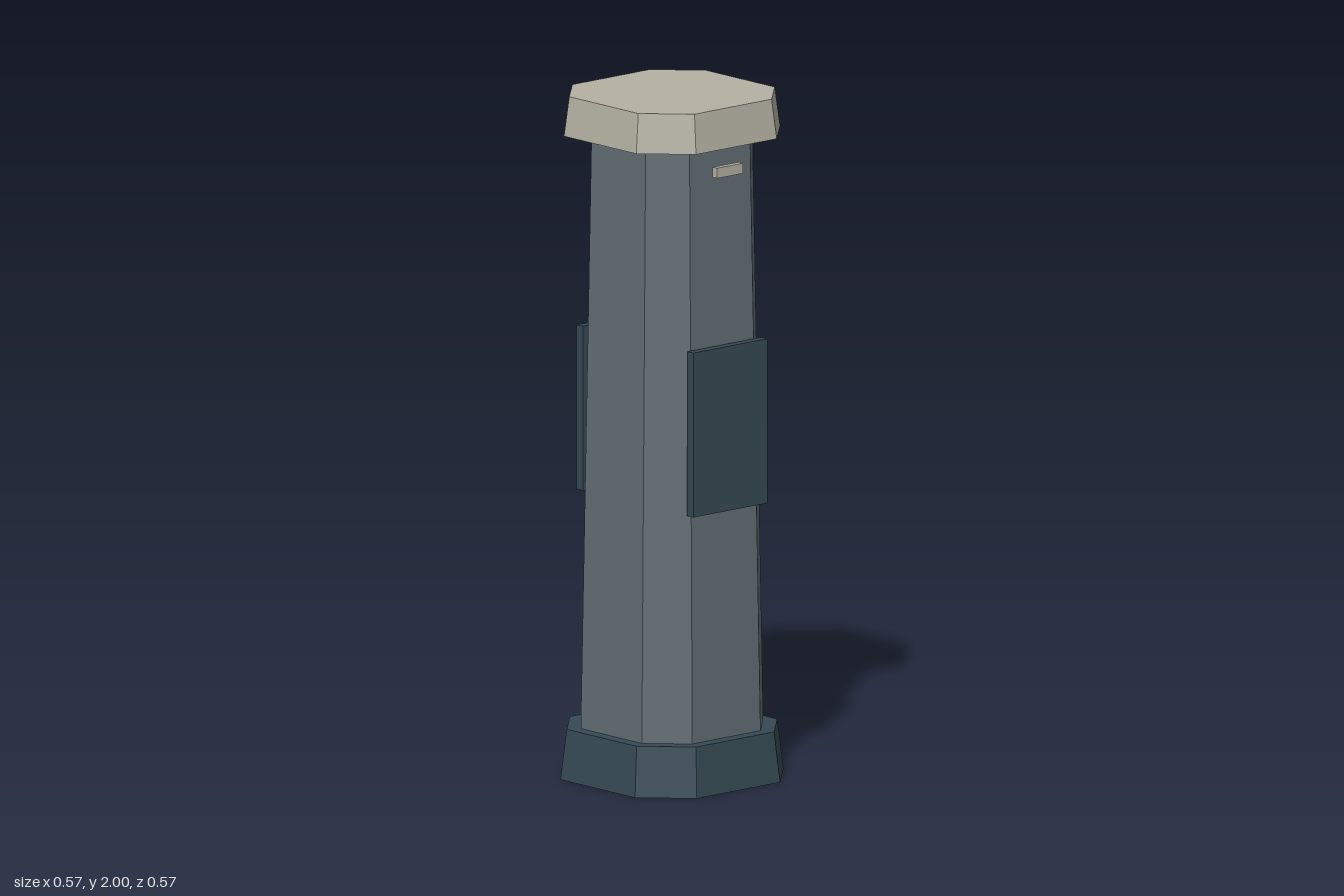
import * as THREE from 'three';
import { ConvexGeometry } from 'three/addons/geometries/ConvexGeometry.js';

// Corners of a square with cut corners: half = half width, flat = half length of each main side
function ring(y, half, flat) {
  const points = [];
  for (const sx of [-1, 1]) {
    for (const sz of [-1, 1]) {
      points.push(new THREE.Vector3(sx * half, y, sz * flat));
      points.push(new THREE.Vector3(sx * flat, y, sz * half));
    }
  }
  return points;
}

export function createModel() {
  const model = new THREE.Group();
  const make = (name, color) => {
    const material = new THREE.MeshStandardMaterial({ color });
    material.name = name;
    return material;
  };
  const stone = make('paleStone', 0xb5b2a4);
  const slate = make('slateGrey', 0x626e75);
  const dark = make('darkBlueGrey', 0x364a54);

  const add = (name, geometry, material) => {
    const mesh = new THREE.Mesh(geometry, material);
    mesh.name = name;
    model.add(mesh);
    return mesh;
  };
  const taper = (name, material, bottom, top) =>
    add(name, new ConvexGeometry([...ring(...bottom), ...ring(...top)]), material);

  // Tapered eight-sided pillar: [height, half width, half side]
  taper('base', dark, [0, 0.285, 0.16], [0.147, 0.27, 0.15]);
  taper('shaft', slate, [0.147, 0.233, 0.131], [1.885, 0.205, 0.116]);
  taper('cap', stone, [1.885, 0.276, 0.155], [2, 0.262, 0.148]);

  // Panel and small tab on front and back
  for (const [side, s] of [['front', 1], ['back', -1]]) {
    add(side + 'Panel', new THREE.BoxGeometry(0.284, 0.482, 0.026), dark).position.set(0, 1.056, s * 0.237);
    add(side + 'Tab', new THREE.BoxGeometry(0.1, 0.03, 0.019), stone).position.set(0, 1.81, s * 0.24);
  }
  return model;
}
